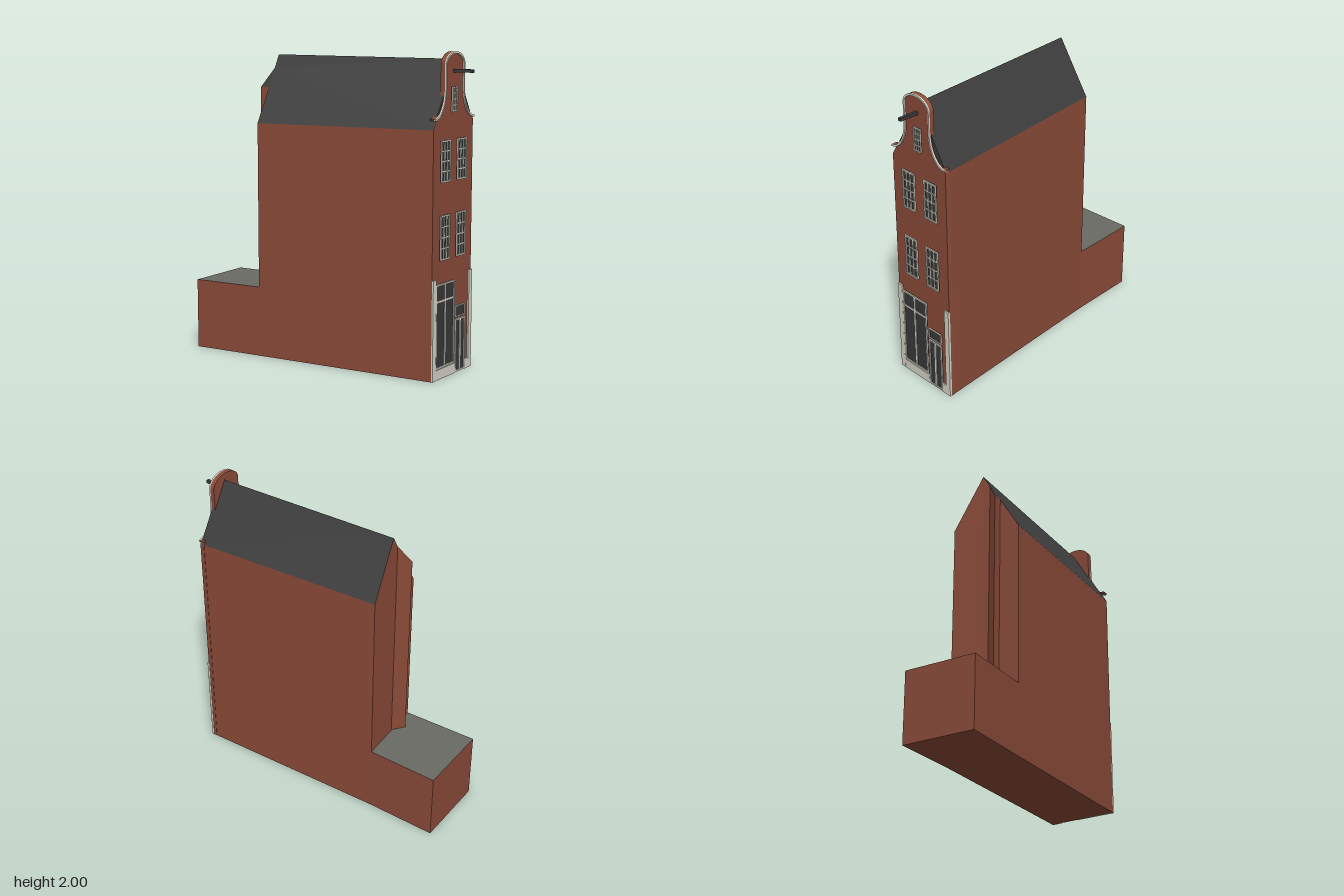
import * as THREE from 'three';

const mat = (name, color, side = THREE.FrontSide) => {
  const m = new THREE.MeshStandardMaterial({ color, side });
  m.name = name;
  return m;
};

export function createModel() {
  const brick = mat('brick', 0x8b4b39);
  const slate = mat('dark slate', 0x3c3c3c);
  const stone = mat('pale stone', 0xd6d4c8);
  const glass = mat('dark glass', 0x383938);
  const flatRoof = mat('grey flat roof', 0x6b6b65);

  const house = new THREE.Group();
  house.name = 'canalHouse';
  const FRONT = 0.815;

  const add = (parent, name, geometry, material) => {
    const mesh = new THREE.Mesh(geometry, material);
    mesh.name = name;
    parent.add(mesh);
    return mesh;
  };

  // Flat polygons (corners counter-clockwise from outside) merged into one geometry
  const polygons = (faces) => {
    const pos = [];
    for (const f of faces) {
      for (let i = 1; i < f.length - 1; i++) pos.push(...f[0], ...f[i], ...f[i + 1]);
    }
    const g = new THREE.BufferGeometry();
    g.setAttribute('position', new THREE.Float32BufferAttribute(pos, 3));
    g.computeVertexNormals();
    return g;
  };

  // Thin block on the facade, from x0,y0 to x1,y1
  const block = (parent, name, x0, x1, y0, y1, z0, z1, material) => {
    const g = new THREE.BoxGeometry(x1 - x0, y1 - y0, z1 - z0);
    g.translate((x0 + x1) / 2, (y0 + y1) / 2, (z0 + z1) / 2);
    return add(parent, name, g, material);
  };

  const extrude = (points, z0, z1) => {
    const g = new THREE.ExtrudeGeometry(new THREE.Shape(points), { depth: z1 - z0, bevelEnabled: false });
    return g.translate(0, 0, z0);
  };

  // Main body: slanted footprint, each corner with its own wall height [x, top, z]
  const ring = [
    [-0.16, 1.54, 0.81], [0.31, 1.58, 0.81], [0.195, 1.61, -0.48], [-0.01, 1.96, -0.455],
    [-0.06, 1.875, -0.45], [-0.14, 1.75, -0.505], [-0.135, 1.755, -0.44], [-0.27, 1.53, -0.43],
  ];
  const [A, B, C, R, D, E, F, G] = ring;
  const P = [0.09, 1.955, 0.81];
  const at = (p, y) => [p[0], y, p[2]];
  add(house, 'walls', polygons(ring.map((p, i) => {
    const q = ring[(i + 1) % ring.length];
    return [at(p, 0), at(q, 0), q, p];
  })), brick);

  // Pitched roof with its front end behind the gable
  add(house, 'roof', polygons([
    [B, C, R, P], [P, R, D, A], [D, F, A], [D, E, F], [F, G, A], [A, B, P],
  ]), slate);

  // Low rear extension
  const H = [-0.315, 0.46, -0.92];
  const K = [0.17, 0.46, -0.945];
  const loop = [G, C, K, H];
  add(house, 'rearExtension', polygons([
    ...[[C, K], [K, H], [H, G]].map(([p, q]) => [at(p, 0), at(q, 0), at(q, 0.46), at(p, 0.46)]),
    loop.map((p) => at(p, 0)).reverse(),
    [A, G, C, B].map((p) => at(p, 0)),
  ]), brick);
  add(house, 'extensionRoof', polygons([loop.map((p) => at(p, 0.46))]), flatRoof);

  // Neck gable profile, from right shoulder over the top to the left shoulder
  const cx = 0.077;
  const half = [];
  for (let i = 0; i <= 12; i++) {
    const t = (Math.PI / 2) * (1 - i / 12);
    half.push(new THREE.Vector2(0.234 - 0.122 * Math.cos(t), 1.79 - 0.185 * Math.sin(t)));
  }
  for (let i = 0; i <= 10; i++) {
    const t = (Math.PI / 2) * (i / 10);
    half.push(new THREE.Vector2(0.112 * Math.cos(t), 1.925 + 0.075 * Math.sin(t)));
  }
  const place = (p, s) => new THREE.Vector2(cx + s * p.x, p.y);
  const profile = [
    ...half.map((p) => place(p, 1)),
    ...half.slice(0, -1).reverse().map((p) => place(p, -1)),
  ];

  // Facade plate; its shoulders are cut along the roof slope
  const inner = profile.filter((p) => p.x > -0.118 && p.x < 0.3);
  add(house, 'facade', extrude([
    new THREE.Vector2(-0.16, 0), new THREE.Vector2(0.31, 0), new THREE.Vector2(0.31, 1.58),
    new THREE.Vector2(0.3, 1.603), ...inner,
    new THREE.Vector2(-0.118, 1.61), new THREE.Vector2(-0.16, 1.54),
  ], 0.785, FRONT), brick);

  // Gable coping: brick band behind, pale trim in front
  const band = (w) => {
    const inside = profile.map((p, i) => {
      const a = profile[Math.max(i - 1, 0)];
      const b = profile[Math.min(i + 1, profile.length - 1)];
      const d = b.clone().sub(a).normalize();
      return new THREE.Vector2(p.x - d.y * w, p.y + d.x * w);
    });
    return [...profile, ...inside.reverse()];
  };
  add(house, 'gableCoping', extrude(band(0.01), 0.785, FRONT), brick);
  add(house, 'gableTrim', extrude(band(0.012), FRONT, 0.825), stone);

  // Hoisting beam
  block(house, 'hoistBeam', cx - 0.01, cx + 0.01, 1.875, 1.895, 0.79, 0.945, slate);

  // Window: glass, surrounding frame and glazing bars at the given fractions
  const makeWindow = (name, x0, x1, y0, y1, cols, rows, frame = 0.01, bar = 0.007) => {
    const g = new THREE.Group();
    g.name = name;
    house.add(g);
    block(g, 'pane', x0, x1, y0, y1, FRONT - 0.004, FRONT + 0.003, glass);
    const strip = (n, a, b, c, d, z) => block(g, n, a, b, c, d, FRONT, z, stone);
    strip('frameLeft', x0, x0 + frame, y0, y1, 0.825);
    strip('frameRight', x1 - frame, x1, y0, y1, 0.825);
    strip('frameBottom', x0 + frame, x1 - frame, y0, y0 + frame, 0.825);
    strip('frameTop', x0 + frame, x1 - frame, y1 - frame, y1, 0.825);
    for (const f of cols) {
      const x = x0 + (x1 - x0) * f;
      strip('verticalBar', x - bar / 2, x + bar / 2, y0 + frame, y1 - frame, 0.822);
    }
    for (const f of rows) {
      const y = y0 + (y1 - y0) * f;
      strip('horizontalBar', x0 + frame, x1 - frame, y - bar / 2, y + bar / 2, 0.821);
    }
  };
  const thirds = [0.35, 0.65];
  const quarters = [0.26, 0.5, 0.74];
  for (const x of [-0.074, 0.118]) {
    makeWindow('upperWindow', x, x + 0.109, 1.217, 1.472, thirds, quarters);
    makeWindow('middleWindow', x, x + 0.109, 0.74, 1.017, thirds, quarters);
  }
  makeWindow('atticWindow', 0.043, 0.109, 1.638, 1.79, thirds, quarters, 0.008, 0.005);
  makeWindow('shopWindow', -0.121, 0.102, 0.068, 0.597, [0.5], [0.795], 0.011, 0.012);
  makeWindow('doorTransom', 0.117, 0.235, 0.352, 0.427, [], [], 0.007);
  makeWindow('frontDoor', 0.117, 0.235, 0.003, 0.342, [0.5], [], 0.01, 0.014);

  // Stone corner piers and plinth
  block(house, 'leftPier', 0.274, 0.312, 0, 0.63, 0.81, 0.825, stone);
  block(house, 'rightPier', -0.16, -0.122, 0, 0.63, 0.81, 0.825, stone);
  block(house, 'plinth', -0.122, 0.115, 0, 0.064, 0.81, 0.824, stone);
  block(house, 'plinthByDoor', 0.237, 0.274, 0, 0.064, 0.81, 0.824, stone);

  return house;
}
